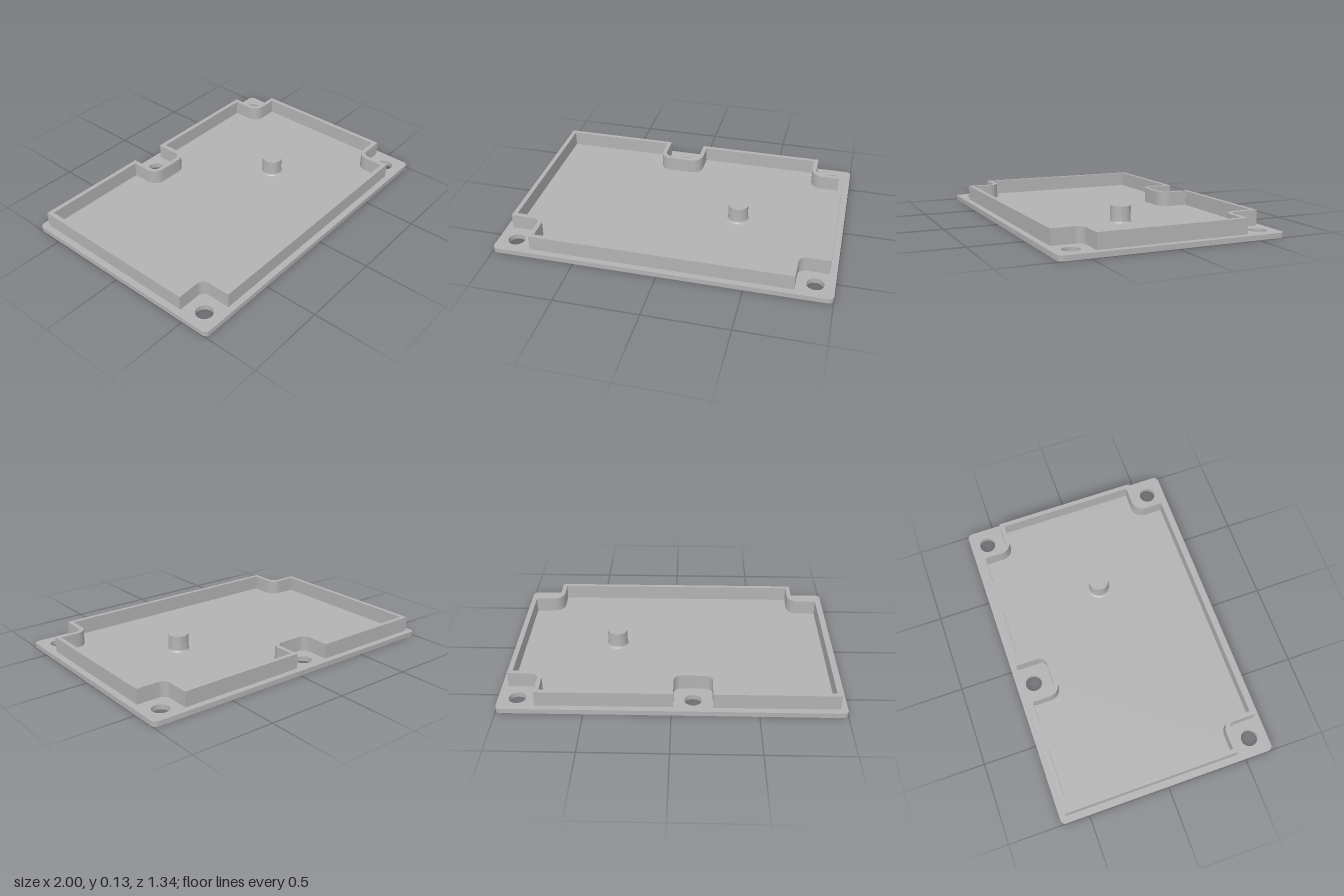
import * as THREE from 'three';
import { toCreasedNormals } from 'three/addons/utils/BufferGeometryUtils.js';

const PLATE_H = 0.03, WALL_TOP = 0.122, POST_TOP = 0.131;

// Traces a right-angled outline of [x, y, cornerRadius] points onto a path
function trace(path, pts) {
  const n = pts.length;
  pts.forEach(([x, y, r = 0], i) => {
    const p = new THREE.Vector2(x, y);
    const a = new THREE.Vector2(...pts[(i + n - 1) % n].slice(0, 2)).sub(p).normalize();
    const b = new THREE.Vector2(...pts[(i + 1) % n].slice(0, 2)).sub(p).normalize();
    const start = p.clone().addScaledVector(a, r);
    if (i === 0) path.moveTo(start.x, start.y);
    else path.lineTo(start.x, start.y);
    if (r > 0) {
      const c = start.clone().addScaledVector(b, r);
      const clockwise = -a.x * b.y + a.y * b.x < 0;
      path.absarc(c.x, c.y, r, Math.atan2(-b.y, -b.x), Math.atan2(-a.y, -a.x), clockwise);
    }
  });
  path.closePath();
  return path;
}

// Wall outline, moved inward by t; notches leave room for the screw holes
function wallOutline(t) {
  const X = 0.96 - t, Z = 0.634 - t, nx = 0.78 - t, nz = 0.452 - t, r = 0.045 + t;
  return [
    [-nx, -Z], [nx, -Z], [nx, -nz, r], [X, -nz],
    [X, nz], [nx, nz, r], [nx, Z],
    [-0.01 + t, Z], [-0.01 + t, nz, r], [-0.236 - t, nz, r], [-0.236 - t, Z],
    [-X, Z], [-X, -nz], [-nx, -nz, r],
  ];
}

// Extrudes a plan shape (shape y = -z) upward from y0 to y1
function extrudeUp(shape, y0, y1) {
  const g = new THREE.ExtrudeGeometry(shape, { depth: y1 - y0, bevelEnabled: false, curveSegments: 16 });
  g.rotateX(-Math.PI / 2);
  g.translate(0, y0, 0);
  return toCreasedNormals(g, 0.6);
}

export function createModel() {
  const group = new THREE.Group();
  group.name = 'enclosureLid';
  const grey = new THREE.MeshStandardMaterial({ color: 0xb2b2b2 });
  grey.name = 'grey';
  const add = (name, geometry) => {
    const mesh = new THREE.Mesh(geometry, grey);
    mesh.name = name;
    group.add(mesh);
    return mesh;
  };

  // Base plate with rounded corners and four screw holes
  const R = 0.03;
  const plate = trace(new THREE.Shape(), [
    [-1, -0.672, R], [1, -0.672, R], [1, 0.672, R], [-1, 0.672, R],
  ]);
  for (const [x, z] of [[0.888, 0.562], [0.888, -0.565], [-0.89, 0.562], [-0.123, -0.565]]) {
    plate.holes.push(new THREE.Path().absarc(x, -z, 0.05, 0, Math.PI * 2, true));
  }
  add('basePlate', extrudeUp(plate, 0, PLATE_H));

  // Thin notched rim wall
  const wall = trace(new THREE.Shape(), wallOutline(0));
  wall.holes.push(trace(new THREE.Path(), wallOutline(0.027)));
  add('rimWall', extrudeUp(wall, PLATE_H, WALL_TOP));

  // Round post with a small fillet at its foot
  const r = 0.061, f = 0.013;
  const profile = [];
  for (let i = 0; i <= 6; i++) {
    const a = (i / 6) * Math.PI / 2;
    profile.push(new THREE.Vector2(r + f - f * Math.sin(a), PLATE_H + f - f * Math.cos(a)));
  }
  profile.push(new THREE.Vector2(r, POST_TOP), new THREE.Vector2(0, POST_TOP));
  const post = add('post', toCreasedNormals(new THREE.LatheGeometry(profile, 40), 0.6));
  post.position.set(0.355, 0, 0.03);

  return group;
}
